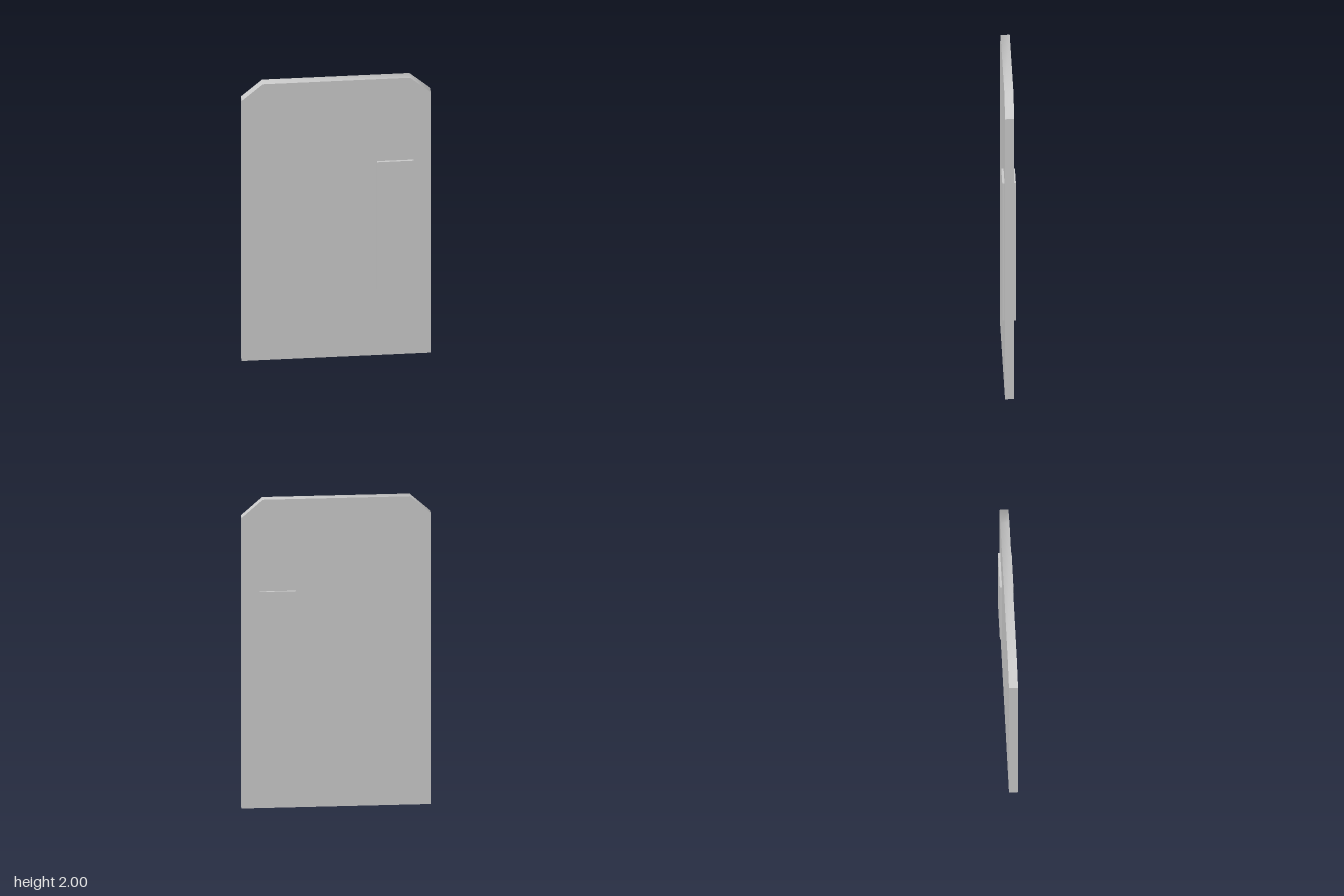
import * as THREE from 'three';
import { toCreasedNormals } from 'three/addons/utils/BufferGeometryUtils.js';

const HALF_WIDTH = 0.587, HEIGHT = 2, THICKNESS = 0.056;
const TOP_HALF = 0.457, SHOULDER = 1.885; // where the corner cuts begin
const PLATE = { width: 0.227, height: 0.925, depth: 0.014, x: 0.3635, y: 0.9435 };

export function createModel() {
  const group = new THREE.Group();
  group.name = 'doorPanel';
  const material = new THREE.MeshStandardMaterial({ color: 0xcccccc });

  // Flat slab with two cut top corners
  const outline = new THREE.Shape([
    [-HALF_WIDTH, 0], [HALF_WIDTH, 0], [HALF_WIDTH, SHOULDER],
    [TOP_HALF, HEIGHT], [-TOP_HALF, HEIGHT], [-HALF_WIDTH, SHOULDER],
  ].map(([x, y]) => new THREE.Vector2(x, y)));
  const slab = new THREE.ExtrudeGeometry(outline, { depth: THICKNESS, bevelEnabled: false });
  slab.translate(0, 0, -THICKNESS / 2);
  // Soft shading from the top edge into the corner cuts, sharp elsewhere
  const panel = new THREE.Mesh(toCreasedNormals(slab, Math.PI / 4), material);
  panel.name = 'panel';
  group.add(panel);

  // Thin raised plate on each face
  const plateGeometry = new THREE.BoxGeometry(PLATE.width, PLATE.height, PLATE.depth);
  for (const [name, side] of [['frontPlate', 1], ['backPlate', -1]]) {
    const plate = new THREE.Mesh(plateGeometry, material);
    plate.name = name;
    plate.position.set(PLATE.x, PLATE.y, side * (THICKNESS + PLATE.depth) / 2);
    group.add(plate);
  }
  return group;
}
